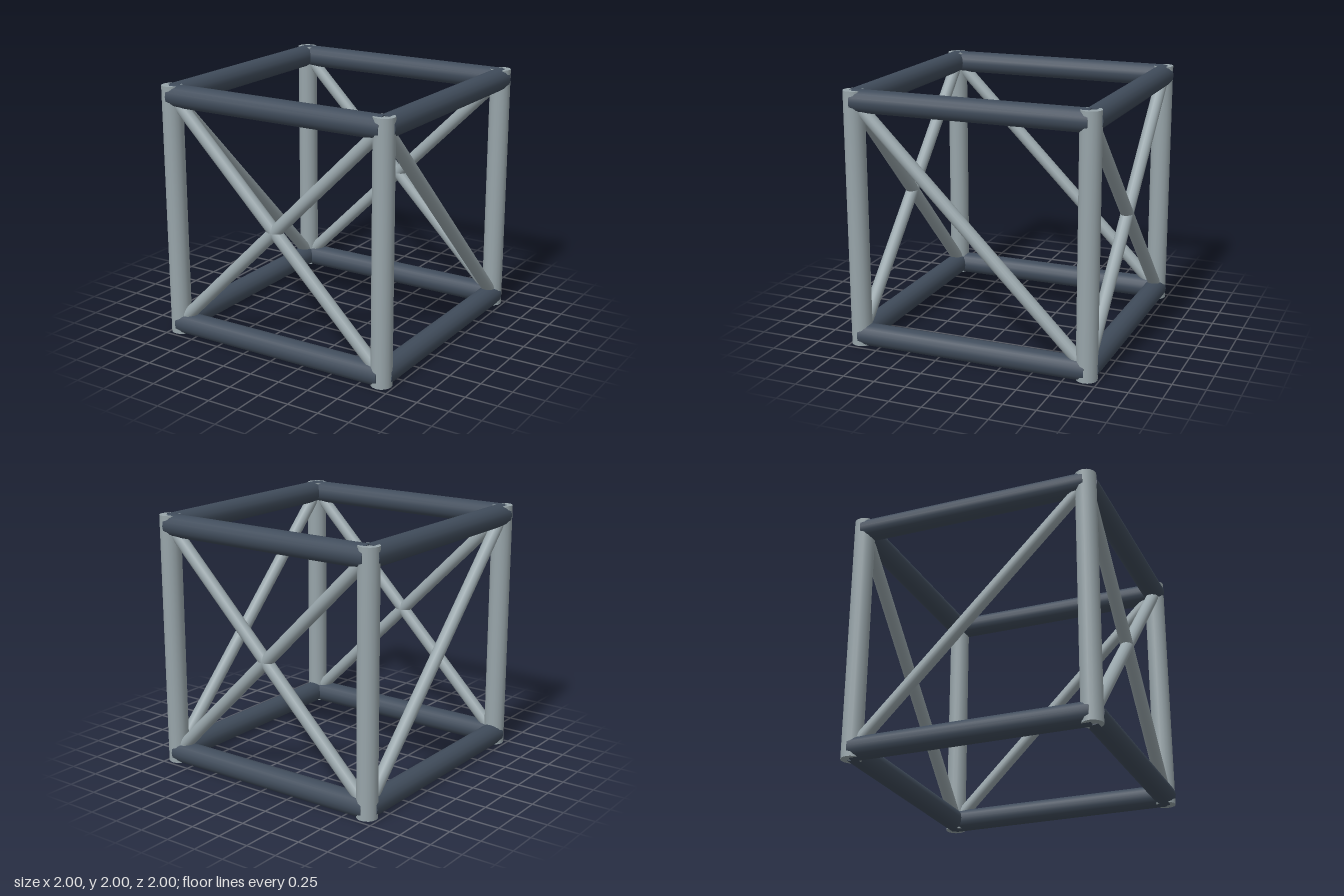
import * as THREE from 'three';

const C = 0.912;        // corner offset of the tube axes
const RAIL_R = 0.088;
const POST_R = 0.08;
const BRACE_R = 0.05;

export function createModel() {
  const group = new THREE.Group();
  group.name = 'trussFrame';

  const slate = new THREE.MeshStandardMaterial({ color: 0x404c5b });
  slate.name = 'darkSlate';
  const steel = new THREE.MeshStandardMaterial({ color: 0x98a5aa });
  steel.name = 'lightSteel';

  const up = new THREE.Vector3(0, 1, 0);

  // Round capped tube between two points
  function tube(name, a, b, radius, material) {
    const from = new THREE.Vector3(...a);
    const to = new THREE.Vector3(...b);
    const dir = to.clone().sub(from);
    const mesh = new THREE.Mesh(new THREE.CylinderGeometry(radius, radius, dir.length(), 16), material);
    mesh.name = name;
    mesh.position.copy(from).add(to).multiplyScalar(0.5);
    mesh.quaternion.setFromUnitVectors(up, dir.normalize());
    group.add(mesh);
  }

  const low = 1 - C;
  const high = 1 + C;

  for (const s of [-1, 1]) {
    const c = s * C;

    // Corner posts
    for (const t of [-1, 1]) {
      tube('cornerPost', [c, 0.01, t * C], [c, 1.99, t * C], POST_R, steel);
    }

    // Top and bottom rails
    for (const [level, y] of [['bottom', low], ['top', high]]) {
      tube(level + 'CrossRail', [-C, y, c], [C, y, c], RAIL_R, slate);
      tube(level + 'SideRail', [c, y, -C], [c, y, C], RAIL_R, slate);
    }

    // Crossed braces on the front and back
    const face = s > 0 ? 'front' : 'back';
    tube(face + 'BraceRising', [-C, low, c], [C, high, c], BRACE_R, steel);
    tube(face + 'BraceFalling', [-C, high, c], [C, low, c], BRACE_R, steel);

    // Single diagonal brace on each side, high at the front
    tube(s > 0 ? 'leftBrace' : 'rightBrace', [c, high, C], [c, low, -C], BRACE_R, steel);
  }

  return group;
}
